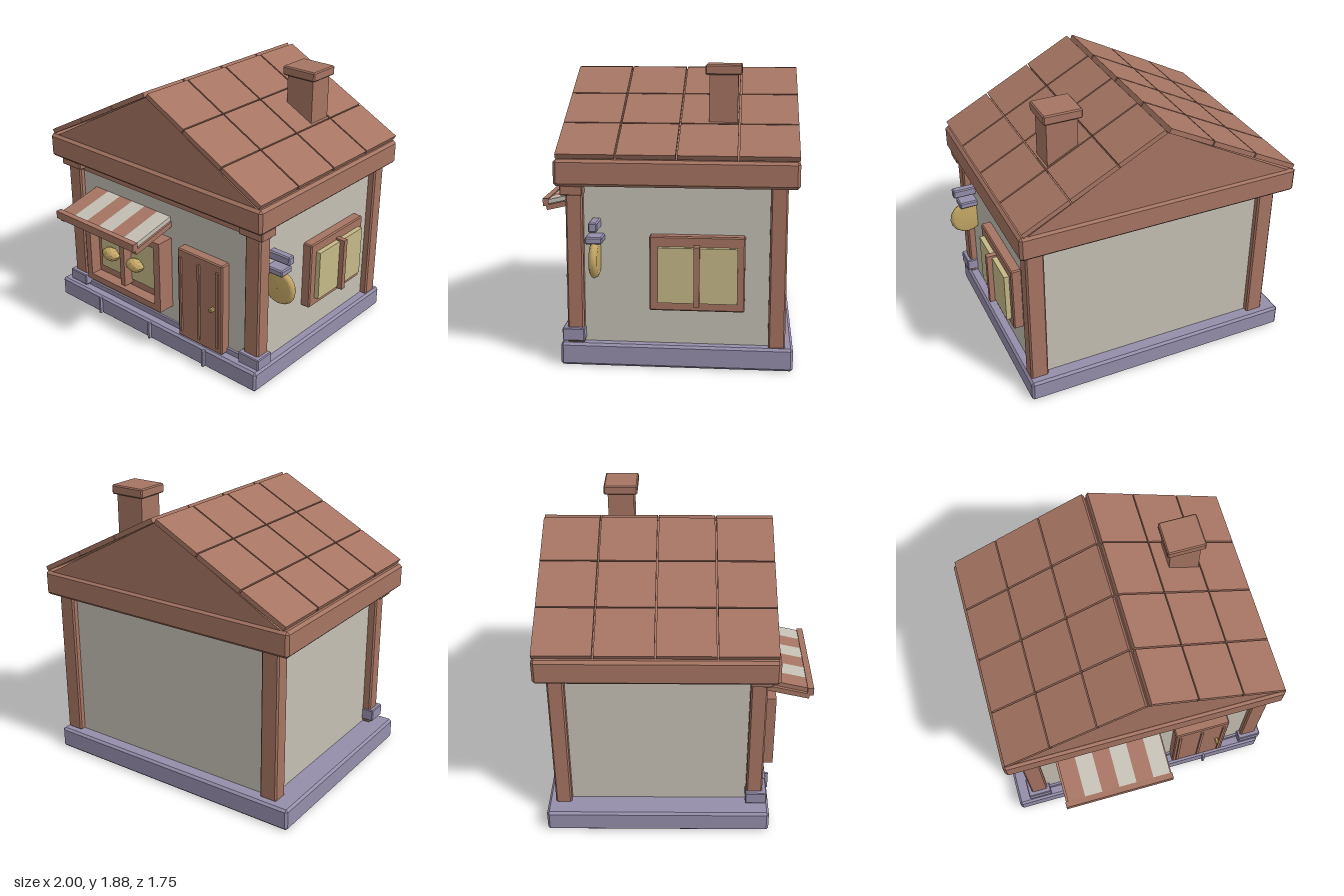
import * as THREE from 'three';
import { ConvexGeometry } from 'three/addons/geometries/ConvexGeometry.js';

export function createModel() {
  const group = new THREE.Group();
  group.name = 'bakeryHouse';
  const mat = (name, color) => {
    const m = new THREE.MeshStandardMaterial({ color });
    m.name = name;
    return m;
  };
  const brown = mat('brownWood', 0xa57462);
  const wall = mat('creamPlaster', 0xc4bfb3);
  const stone = mat('lavenderStone', 0x958eab);
  const glass = mat('paleYellowGlass', 0xc5b988);
  const bread = mat('goldenBread', 0xc4a765);

  const add = (name, geometry, material, parent = group) => {
    const mesh = new THREE.Mesh(geometry, material);
    mesh.name = name;
    parent.add(mesh);
    return mesh;
  };

  // Box with chamfered edges, centred on the origin
  const chamferBox = (w, h, d, b) => {
    const pts = [];
    for (const sx of [-1, 1]) for (const sy of [-1, 1]) for (const sz of [-1, 1]) {
      const x = sx * w / 2, y = sy * h / 2, z = sz * d / 2;
      pts.push(new THREE.Vector3(x, y - sy * b, z - sz * b),
        new THREE.Vector3(x - sx * b, y, z - sz * b),
        new THREE.Vector3(x - sx * b, y - sy * b, z));
    }
    return new ConvexGeometry(pts);
  };

  // Box given by its limits on each axis, with an optional chamfer
  const block = (name, material, [x0, x1], [y0, y1], [z0, z1], bevel = 0) => {
    const s = [x1 - x0, y1 - y0, z1 - z0];
    const mesh = add(name, bevel ? chamferBox(...s, bevel) : new THREE.BoxGeometry(...s), material);
    mesh.position.set((x0 + x1) / 2, (y0 + y1) / 2, (z0 + z1) / 2);
    return mesh;
  };

  // Foundation with seam ribs along the front
  block('foundation', stone, [-0.995, 0.875], [0, 0.145], [-0.855, 0.6], 0.015);
  for (const x of [-0.565, -0.065, 0.44])
    block('foundationRib', stone, [x - 0.008, x + 0.008], [0.015, 0.135], [0.58, 0.622]);

  // Walls and their front trim
  block('walls', wall, [-0.83, 0.81], [0.13, 1.18], [-0.765, 0.52]);
  block('frontTopTrim', brown, [-0.8, 0.78], [1.077, 1.13], [0.5, 0.535]);
  block('frontBaseboard', stone, [-0.8, 0.78], [0.14, 0.183], [0.5, 0.535]);

  // Corner posts; the front pair has capitals and stone feet
  for (const [x, capX, footX] of [[-0.825, -0.825, -0.828], [0.8, 0.803, 0.803]]) {
    block('frontPost', brown, [x - 0.06, x + 0.06], [0.14, 1.17], [0.451, 0.556], 0.01);
    block('backPost', brown, [x - 0.06, x + 0.06], [0.14, 1.17], [-0.805, -0.7], 0.01);
    block('postCapital', brown, [capX - 0.092, capX + 0.092], [1.095, 1.157], [0.445, 0.585], 0.006);
    block('postFoot', stone, [footX - 0.083, footX + 0.083], [0.163, 0.246], [0.445, 0.585], 0.006);
  }

  // Eaves beam and gable
  block('eavesBeam', brown, [-0.985, 0.912], [1.153, 1.32], [-0.873, 0.622], 0.018);
  const ridgeX = -0.034;
  const gable = new THREE.Shape([
    new THREE.Vector2(ridgeX - 0.905, 1.31),
    new THREE.Vector2(ridgeX + 0.905, 1.31),
    new THREE.Vector2(ridgeX, 1.8),
  ]);
  add('gable', new THREE.ExtrudeGeometry(gable, { depth: 1.46, bevelEnabled: false }), brown)
    .position.z = -0.858;

  // Roof slabs, three up each slope and four along the ridge
  const angle = Math.atan2(0.48, 0.92);
  const slab = new THREE.BoxGeometry(0.338, 0.032, 0.362);
  for (const side of [-1, 1]) {
    for (let row = 0; row < 3; row++) {
      for (let col = 0; col < 4; col++) {
        const run = 0.016 + (row + 0.5) * 0.307;
        const tile = add('roofSlab', slab, brown);
        tile.position.set(
          ridgeX + side * (run - 0.007),
          1.83 - (run - 0.016) * 0.522 - 0.0145,
          -0.875 + (col + 0.5) * 0.3722);
        tile.rotation.z = -side * angle;
      }
    }
  }

  // Chimney
  block('chimney', brown, [0.375, 0.58], [1.4, 1.82], [-0.49, -0.31]);
  block('chimneyCap', brown, [0.35, 0.605], [1.812, 1.875], [-0.515, -0.285], 0.008);

  // Shop window: deep frame, inner panel, glass and mullion
  const rect = (s, x0, x1, y0, y1) =>
    s.moveTo(x0, y0).lineTo(x1, y0).lineTo(x1, y1).lineTo(x0, y1).closePath();
  const frame = rect(new THREE.Shape(), -0.65, 0.08, 0.295, 0.82);
  frame.holes.push(rect(new THREE.Path(), -0.602, 0.025, 0.342, 0.772));
  add('shopWindowFrame', new THREE.ExtrudeGeometry(frame, { depth: 0.13, bevelEnabled: false }), brown)
    .position.z = 0.51;
  block('shopWindowPanel', brown, [-0.61, 0.03], [0.335, 0.78], [0.51, 0.56]);
  block('shopWindowGlass', glass, [-0.57, -0.005], [0.395, 0.72], [0.555, 0.568]);
  block('shopWindowMullion', brown, [-0.31, -0.268], [0.365, 0.747], [0.555, 0.635]);

  // Loaves on display
  for (const x of [-0.45, -0.21]) {
    const geo = new THREE.IcosahedronGeometry(1, 1);
    geo.scale(0.078, 0.056, 0.045);
    const p = geo.attributes.position;
    for (let i = 0; i < p.count; i++) // pointed ends
      p.setY(i, p.getY(i) * (1 - 0.3 * Math.abs(p.getX(i)) / 0.078));
    geo.computeVertexNormals();
    add('loaf', geo, bread).position.set(x, 0.535, 0.59);
  }

  // Door with raised strips and knob
  block('door', brown, [0.195, 0.585], [0.15, 0.818], [0.5, 0.588], 0.008);
  for (const x of [0.228, 0.388, 0.547])
    block('doorStrip', brown, [x - 0.009, x + 0.009], [0.195, 0.763], [0.58, 0.6]);
  block('doorKnob', bread, [0.502, 0.526], [0.47, 0.496], [0.585, 0.628], 0.005);

  // Striped awning with side arms and a front rail
  const slope = Math.atan2(0.07, 0.3);
  const tilted = (name, material, x, w, y, thick, len) => {
    const m = add(name, new THREE.BoxGeometry(w, thick, len), material);
    m.position.set(x, y, 0.675);
    m.rotation.x = slope;
  };
  for (let i = 0; i < 6; i++)
    tilted('awningStripe', i % 2 ? wall : brown, -0.641 + (i + 0.5) * 0.1192, 0.1192, 0.926, 0.03, 0.335);
  for (const x of [-0.638, 0.067]) tilted('awningArm', brown, x, 0.034, 0.888, 0.036, 0.36);
  block('awningRail', brown, [-0.66, 0.085], [0.858, 0.912], [0.835, 0.875]);

  // Side window
  block('sideWindowFrame', brown, [0.79, 0.875], [0.375, 0.848], [-0.552, 0.037], 0.008);
  block('sideWindowGlass', glass, [0.86, 0.908], [0.435, 0.783], [-0.507, -0.018]);
  block('sideWindowMullion', brown, [0.86, 0.943], [0.422, 0.797], [-0.276, -0.24]);

  // Hanging bread sign on stone brackets
  block('signBracket', stone, [0.79, 0.965], [0.882, 0.942], [0.345, 0.4], 0.008);
  block('signHolder', stone, [0.79, 0.932], [0.8, 0.845], [0.32, 0.427], 0.008);
  const profile = [[0.001, -0.028], [0.095, -0.026], [0.112, -0.017], [0.121, 0],
    [0.112, 0.017], [0.095, 0.026], [0.001, 0.028]].map(([r, y]) => new THREE.Vector2(r, y));
  const sign = add('breadSign', new THREE.LatheGeometry(profile, 16), bread);
  sign.rotation.x = Math.PI / 2;
  sign.position.set(0.879, 0.697, 0.372);

  return group;
}
